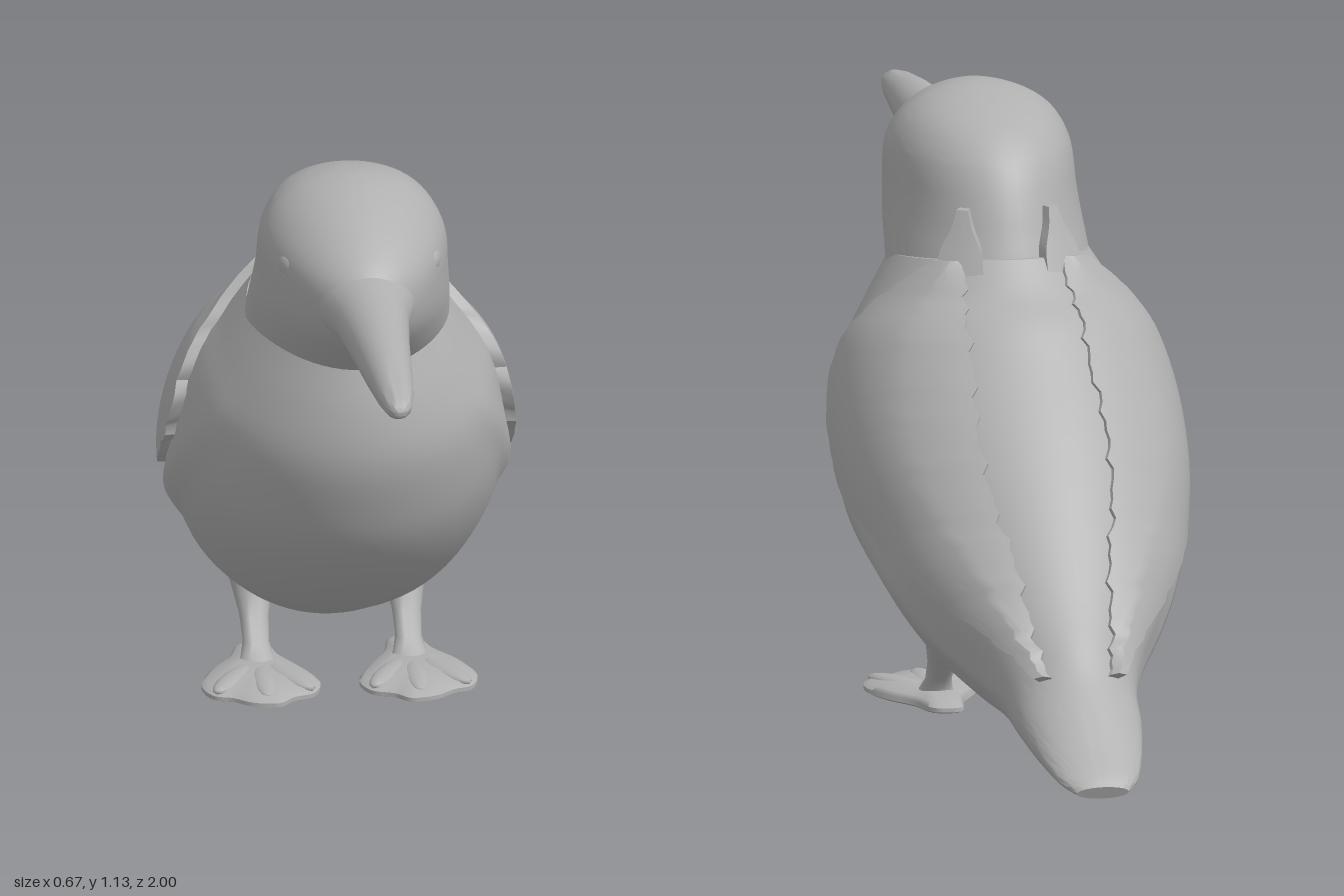
import * as THREE from 'three';
import { toCreasedNormals } from 'three/addons/utils/BufferGeometryUtils.js';

const plumage = new THREE.MeshStandardMaterial({ color: 0xb0b0b0 });
plumage.name = 'plumageGrey';

// Skin closed rings of points into a capped solid that faces outward.
function loft(rings, crease = 0.9) {
  const n = rings[0].length, pts = rings.flat(), idx = [];
  for (let i = 0; i < rings.length - 1; i++) {
    for (let j = 0; j < n; j++) {
      const a = i * n + j, b = i * n + (j + 1) % n;
      idx.push(a, b, a + n, b, b + n, a + n);
    }
  }
  for (const [row, flip] of [[0, true], [rings.length - 1, false]]) {
    const c = pts.length;
    pts.push(rings[row].reduce((s, p) => s.add(p), new THREE.Vector3()).divideScalar(n));
    for (let j = 0; j < n; j++) {
      const a = row * n + j, b = row * n + (j + 1) % n;
      if (flip) idx.push(c, b, a); else idx.push(c, a, b);
    }
  }
  let volume = 0;
  const cross = new THREE.Vector3();
  for (let i = 0; i < idx.length; i += 3) {
    volume += pts[idx[i]].dot(cross.crossVectors(pts[idx[i + 1]], pts[idx[i + 2]]));
  }
  if (volume < 0) idx.reverse();
  const g = new THREE.BufferGeometry().setFromPoints(pts);
  g.setIndex(idx);
  return toCreasedNormals(g, crease);
}

function mesh(name, geometry, parent) {
  const m = new THREE.Mesh(geometry, plumage);
  m.name = name;
  parent.add(m);
  return m;
}

// One ring of n points from a rule of the angle.
const ringOf = (n, rule) => Array.from({ length: n }, (_, j) => rule(j / n * Math.PI * 2));

// Smooth lookup through evenly spaced values.
function track(values) {
  const c = new THREE.CatmullRomCurve3(values.map((v) => new THREE.Vector3(v, 0, 0)), false, 'catmullrom', 0.5);
  return (s) => c.getPoint(THREE.MathUtils.clamp(s / (values.length - 1), 0, 1)).x;
}
const tracks = (rows) => rows[0].map((_, k) => track(rows.map((r) => r[k])));

// Body sections: breast z, y; back z, y; half width.
const [breastZ, breastY, backZ, backY, halfWidth] = tracks([
  [0.325, 0.80, -0.165, 0.865, 0.187], [0.347, 0.70, -0.22, 0.81, 0.235],
  [0.35, 0.60, -0.28, 0.765, 0.28], [0.32, 0.50, -0.345, 0.70, 0.305],
  [0.27, 0.40, -0.42, 0.625, 0.315], [0.18, 0.30, -0.49, 0.55, 0.31],
  [0.05, 0.20, -0.56, 0.47, 0.287], [-0.08, 0.14, -0.62, 0.395, 0.26],
  [-0.22, 0.085, -0.68, 0.32, 0.215], [-0.40, 0.052, -0.74, 0.255, 0.16],
  [-0.57, 0.052, -0.79, 0.20, 0.128], [-0.70, 0.045, -0.85, 0.15, 0.118],
  [-0.83, 0.03, -0.92, 0.095, 0.1], [-0.94, 0.014, -0.98, 0.05, 0.075],
  [-0.99, 0.006, -1.0, 0.03, 0.05],
]);
const foldLine = track([0.82, 0.78, 0.72, 0.66, 0.61, 0.56, 0.52, 0.5, 0.5, 0.5, 0.5]);

// Point on the body: section s, angle from the back, lift off the skin.
function bodyPoint(s, angle, lift = 0) {
  const az = breastZ(s), ay = breastY(s), bz = backZ(s), by = backY(s);
  const half = Math.hypot(bz - az, by - ay) / 2;
  const along = Math.cos(angle) * (1 + lift / half);
  return new THREE.Vector3(
    Math.sin(angle) * (halfWidth(s) + lift),
    (ay + by) / 2 + along * (by - ay) / 2,
    (az + bz) / 2 + along * (bz - az) / 2,
  );
}

function bodyGeometry() {
  const rings = [];
  for (let s = 0; s <= 14; s += 0.25) {
    const fade = Math.sin(Math.PI * THREE.MathUtils.clamp((s - 1.5) / 8.5, 0, 1));
    rings.push(ringOf(72, (angle) => {
      // Raised flank fold below the wing, steeper on its lower side
      const d = (1 - Math.cos(angle)) / 2 - foldLine(s);
      const ridge = Math.exp(-((d / (d > 0 ? 0.045 : 0.07)) ** 2));
      return bodyPoint(s, angle, 0.018 * fade * ridge);
    }));
  }
  return loft(rings);
}

// Ragged feather edge
const ragged = (s) => 0.5 * Math.sin(s * 7.3) + 0.5 * Math.sin(s * 12.1 + 1);

// Wing: a thin shell over the back.
const wingEdge = track([0.14, 0.32, 0.45, 0.53, 0.53, 0.48, 0.39, 0.29, 0.21, 0.15, 0.1]);
const wingInner = track([0.09, 0.1, 0.11, 0.11, 0.12, 0.12, 0.11, 0.09, 0.08, 0.07, 0.055]);
function wingGeometry(side) {
  const rings = [];
  for (let s = 0; s <= 10.01; s += 0.2) {
    const start = Math.asin(Math.min(0.9, (wingInner(s) + 0.008 * ragged(s)) / halfWidth(s)));
    const end = Math.max(start + 0.08, Math.acos(1 - 2 * (wingEdge(s) + 0.012 * ragged(s))));
    const outer = [], inner = [];
    for (let k = 0; k <= 16; k++) {
      const a = THREE.MathUtils.lerp(start, end, k / 16);
      outer.push(bodyPoint(s, a, 0.008 + 0.014 * Math.min(1, k / 6)));
      inner.unshift(bodyPoint(s, a, -0.005));
    }
    rings.push([...outer, ...inner].map((p) => p.setX(p.x * side)));
  }
  return loft(rings, 0.7);
}

// Head slices: y, front z, back z, half width.
const [headY, headFront, headBack, headWidth] = tracks([
  [0.785, 0.325, -0.15, 0.185], [0.80, 0.345, -0.165, 0.194], [0.85, 0.41, -0.15, 0.191],
  [0.90, 0.465, -0.13, 0.186], [0.95, 0.49, -0.11, 0.181], [1.0, 0.485, -0.085, 0.178],
  [1.04, 0.45, -0.055, 0.168], [1.08, 0.385, -0.005, 0.143], [1.11, 0.315, 0.065, 0.105],
  [1.128, 0.255, 0.13, 0.058], [1.135, 0.21, 0.18, 0.015],
]);
// Point on the head: slice s, angle from the front, lift off the skin.
function headPoint(s, angle, lift = 0) {
  const c = Math.cos(angle), front = headFront(s), back = headBack(s);
  const taper = 1 - 0.18 * Math.max(0, c);
  return new THREE.Vector3(
    Math.sin(angle) * (headWidth(s) * taper + lift),
    headY(s),
    (front + back) / 2 + c * ((front - back) / 2 + lift),
  );
}
function headGeometry() {
  const rings = [];
  for (let s = 0; s <= 10; s += 0.25) rings.push(ringOf(56, (a) => headPoint(s, a)));
  return loft(rings);
}

// Nape tuft: a ragged flap running from the wing up the back of the head.
function tuftGeometry(side) {
  const rings = [];
  for (let k = 0; k <= 10; k++) {
    const s = 1.3 + k * 0.27, t = k / 10;
    const from = 0.24 + 0.16 * t + 0.02 * ragged(k), to = 0.78 - 0.3 * t + 0.03 * ragged(k + 3);
    const outer = [], inner = [];
    for (let j = 0; j <= 5; j++) {
      const a = Math.PI - side * THREE.MathUtils.lerp(from, to, j / 5);
      outer.push(headPoint(s, a, 0.036 - 0.016 * t));
      inner.unshift(headPoint(s, a, -0.004));
    }
    rings.push([...outer, ...inner]);
  }
  return loft(rings, 0.7);
}

// Bill sections: z, bottom y, top y, half width.
const BILL = [
  [0.36, 0.86, 1.04, 0.11], [0.44, 0.885, 1.03, 0.09], [0.52, 0.9, 1.02, 0.07],
  [0.65, 0.906, 1.014, 0.057], [0.8, 0.915, 1.004, 0.045], [0.91, 0.927, 0.991, 0.035],
  [0.97, 0.936, 0.98, 0.025], [0.993, 0.946, 0.97, 0.014], [1.0, 0.954, 0.962, 0.004],
];
const billGeometry = () => loft(BILL.map(([z, low, high, w]) => ringOf(28, (a) =>
  new THREE.Vector3(Math.sin(a) * w, (low + high) / 2 + Math.cos(a) * (high - low) / 2, z))));

// Shank rings: y, z, radius.
const SHANK = [[0.18, -0.25, 0.05], [0.14, -0.225, 0.038], [0.1, -0.19, 0.028], [0.06, -0.155, 0.025], [0.035, -0.13, 0.032], [0.02, -0.115, 0.045]];
const shankGeometry = () => loft(SHANK.map(([y, z, r]) => ringOf(18, (a) =>
  new THREE.Vector3(Math.sin(a) * r, y, z + Math.cos(a) * r))), 1.2);

// Webbed foot outline, x and z about the leg.
const FOOT = [
  [-0.01, -0.245], [0.025, -0.235], [0.05, -0.17], [0.095, -0.1], [0.117, -0.03], [0.1, 0.025],
  [0.065, 0.04], [0.03, 0.068], [-0.02, 0.076], [-0.05, 0.048], [-0.09, 0.03], [-0.108, -0.025],
  [-0.08, -0.1], [-0.045, -0.17], [-0.03, -0.235],
];
function footGeometry(side) {
  const curve = new THREE.CatmullRomCurve3(FOOT.map(([x, z]) => new THREE.Vector3(x * side, 0, z)), true);
  const outline = curve.getPoints(60).slice(0, 60);
  return loft([[0.008, 0.93], [0.012, 1], [0.02, 1], [0.028, 0.9], [0.036, 0.5]].map(([y, k]) =>
    outline.map((p) => new THREE.Vector3(p.x * k, y, (p.z + 0.08) * k - 0.08))));
}

export function createModel() {
  const bird = new THREE.Group();
  bird.name = 'bird';
  mesh('body', bodyGeometry(), bird);
  mesh('head', headGeometry(), bird);
  mesh('bill', billGeometry(), bird);

  for (const side of [1, -1]) {
    const label = side > 0 ? 'left' : 'right';
    mesh(label + 'Wing', wingGeometry(side), bird);
    mesh(label + 'NapeTuft', tuftGeometry(side), bird);

    const eye = mesh(label + 'Eye', new THREE.SphereGeometry(1, 20, 14), bird);
    eye.scale.set(0.016, 0.024, 0.034);
    eye.position.set(side * 0.134, 1.0, 0.322);
    eye.rotation.y = -side * 0.45;

    // Leg and foot
    const leg = new THREE.Group();
    leg.name = label + 'Leg';
    leg.position.x = side * 0.145;
    bird.add(leg);
    mesh(label + 'Shank', shankGeometry(), leg);
    mesh(label + 'Foot', footGeometry(side), leg);
    for (const [x, z, turn] of [[0.055, -0.04, 0.55], [0, -0.02, 0], [-0.05, -0.04, -0.5]]) {
      const toe = mesh(label + 'Toe', new THREE.SphereGeometry(1, 16, 10), leg);
      toe.scale.set(0.024, 0.013, 0.08);
      toe.position.set(x * side, 0.027, z);
      toe.rotation.y = turn * side;
    }
  }
  return bird;
}
